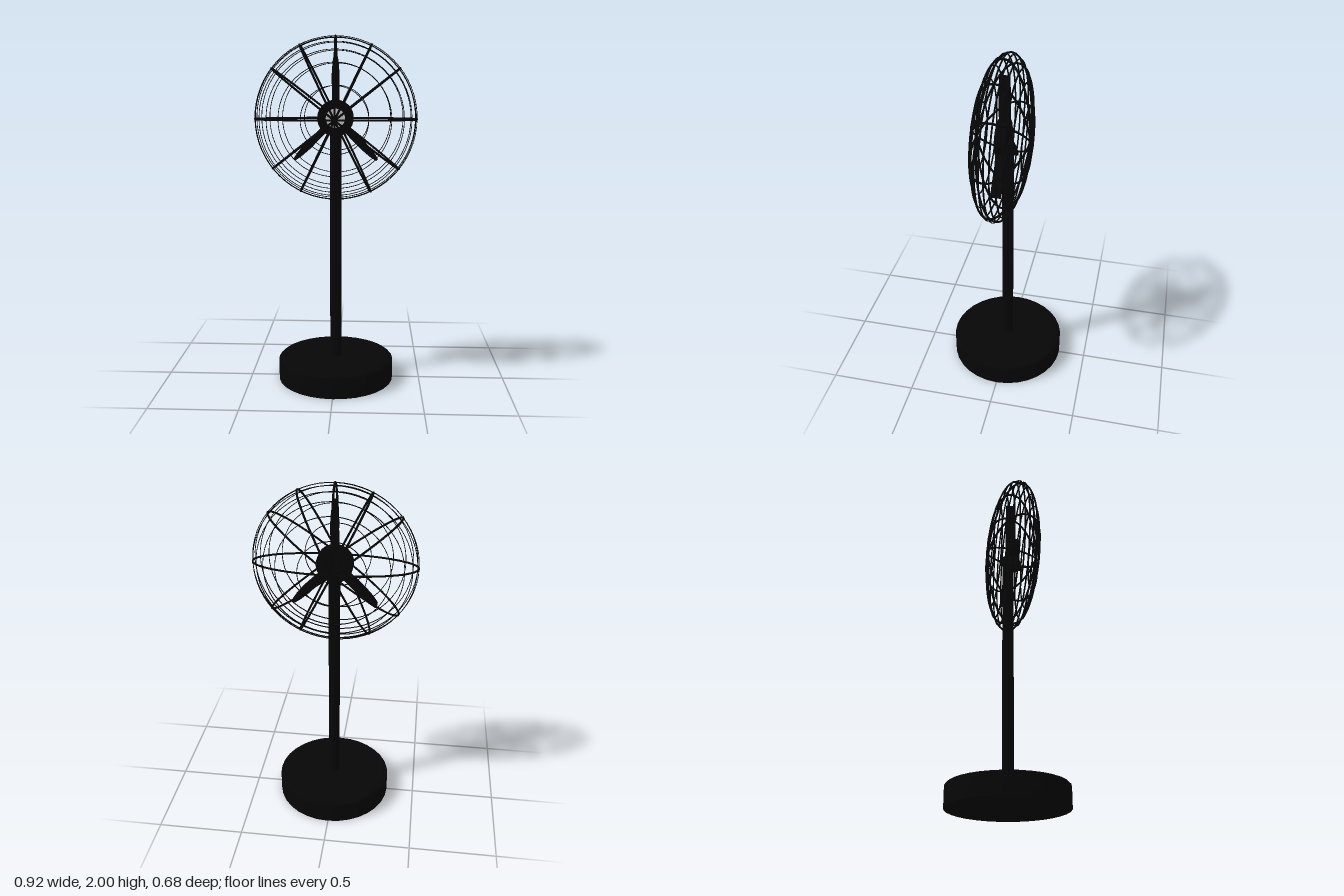
import * as THREE from 'three';

const black = new THREE.MeshStandardMaterial({ color: 0x060606 });
const grey = new THREE.MeshStandardMaterial({ color: 0xcccccc });
const axisX = 0.004;

function add(parent, name, geometry, material = black) {
  const mesh = new THREE.Mesh(geometry, material);
  mesh.name = name;
  parent.add(mesh);
  return mesh;
}

// Closed oval wire running front to back around the cage
class OvalWire extends THREE.Curve {
  constructor(radius, depth) {
    super();
    this.radius = radius;
    this.depth = depth;
  }
  getPoint(t, target = new THREE.Vector3()) {
    const a = t * Math.PI * 2;
    return target.set(this.radius * Math.cos(a), 0, this.depth * Math.sin(a));
  }
}

export function createModel() {
  const model = new THREE.Group();
  model.name = 'pedestalFan';

  // Heavy round foot with a softened top rim
  const foot = [[0, 0], [0.338, 0], [0.338, 0], [0.338, 0.117], [0.328, 0.127],
    [0.308, 0.131], [0.308, 0.131], [0, 0.131]].map(([x, y]) => new THREE.Vector2(x, y));
  add(model, 'base', new THREE.LatheGeometry(foot, 32)).position.x = axisX;

  // Pole
  add(model, 'pole', new THREE.CylinderGeometry(0.033, 0.033, 1.39, 24)).position.set(axisX, 0.825, 0);

  const head = new THREE.Group();
  head.name = 'fanHead';
  head.position.set(axisX, 1.543, 0.025);
  model.add(head);

  // Hub with a pale disc set flush in its front
  const hub = add(head, 'hub', new THREE.CylinderGeometry(0.102, 0.102, 0.06, 32));
  hub.rotation.x = Math.PI / 2;
  add(head, 'hubCap', new THREE.CircleGeometry(0.054, 32), grey).position.z = 0.031;

  // Three steeply pitched blades, tapering to the tip
  const outline = new THREE.Shape([[-0.019, 0.05], [0.019, 0.05], [0.021, 0.24],
    [0.016, 0.31], [0.007, 0.36], [-0.007, 0.36], [-0.016, 0.31], [-0.021, 0.24]]
    .map(([x, y]) => new THREE.Vector2(x, y)));
  const bladeGeometry = new THREE.ExtrudeGeometry(outline, { depth: 0.056, bevelEnabled: false });
  bladeGeometry.translate(0, 0, -0.036);
  for (const angle of [0, 135, -135]) {
    const blade = add(head, 'blade', bladeGeometry);
    blade.rotation.z = THREE.MathUtils.degToRad(angle);
    if (angle) blade.scale.y = 0.92;
  }

  const cage = new THREE.Group();
  cage.name = 'cage';
  cage.position.y = -0.006;
  head.add(cage);
  const radius = 0.457, depth = 0.148;

  // Cage ribs
  const ribGeometry = new THREE.TubeGeometry(new OvalWire(radius, depth), 80, 0.006, 6, true);
  for (const angle of [0, 38, 64, 90, 116, 142]) {
    add(cage, 'cageRib', ribGeometry).rotation.z = THREE.MathUtils.degToRad(angle);
  }

  // Concentric flat cage rings, evenly stepped along the axis
  for (let i = -5; i <= 5; i++) {
    const z = i * 0.027;
    const r = radius * Math.sqrt(1 - (z / depth) ** 2);
    const ring = add(cage, 'cageRing', new THREE.TorusGeometry(r, 0.002, 6, 64));
    ring.position.z = z;
    ring.scale.z = 2.5;
  }

  return model;
}
